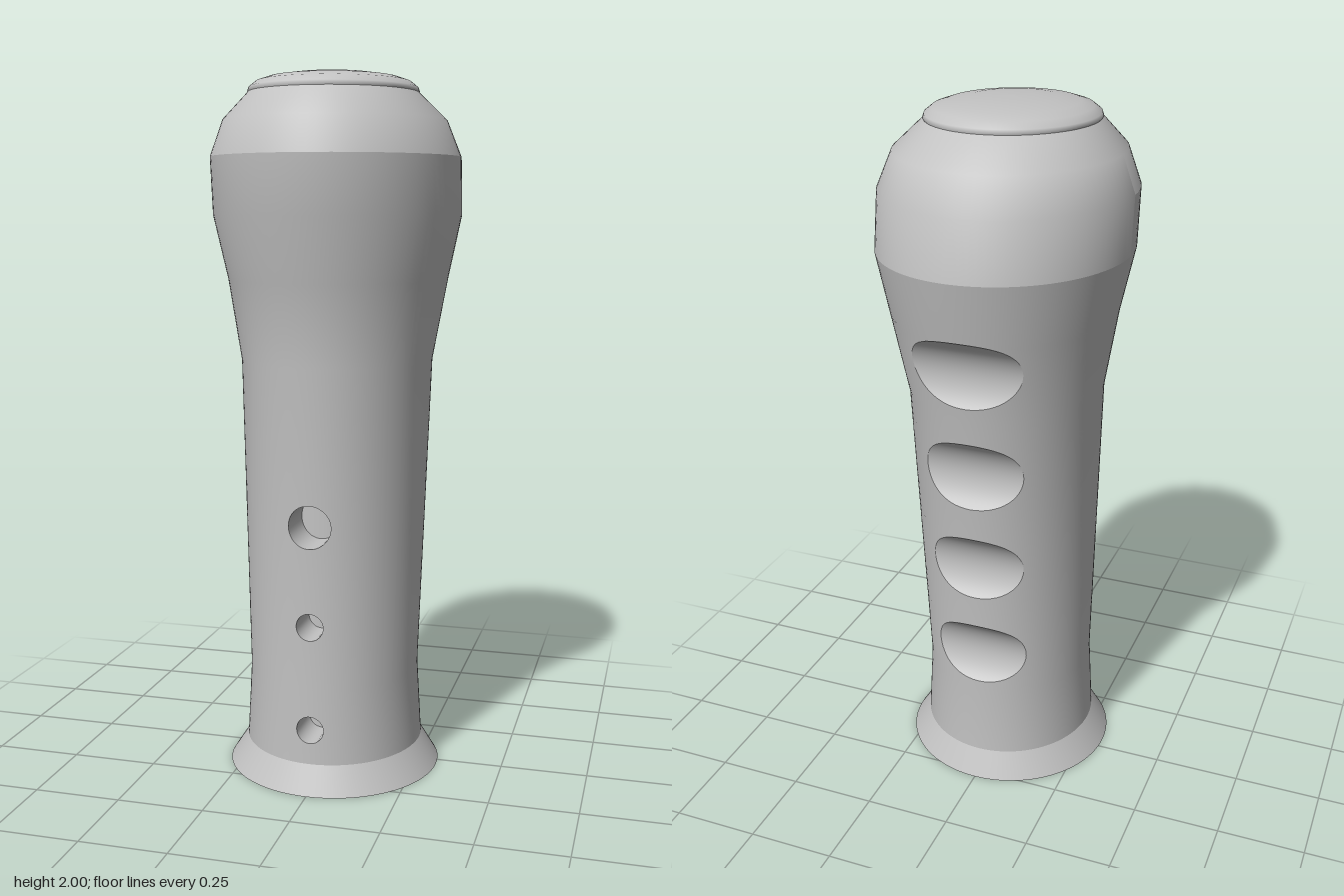
import * as THREE from 'three';

// Elliptical sections of the grip: [height, half width, front z, back z]
const KEYS = [
  [0, 0.31, 0.345, -0.28], [0.08, 0.258, 0.305, -0.243], [0.3, 0.245, 0.303, -0.238],
  [1.2, 0.273, 0.308, -0.307], [1.43, 0.313, 0.338, -0.363], [1.61, 0.351, 0.388, -0.402],
  [1.77, 0.351, 0.402, -0.373], [1.87, 0.312, 0.372, -0.325], [1.945, 0.236, 0.302, -0.218],
].map(([y, a, f, b]) => ({ y, v: [a, (f - b) / 2, (f + b) / 2] }));

const GROOVE_R = 0.135;
const GROOVES = [[1.32, -0.29], [1.02, -0.247], [0.72, -0.227], [0.42, -0.202]]; // y, deepest z
const HOLES = [[0.765, 0.061], [0.48, 0.039], [0.18, 0.039]];                    // y, radius
const BORE_R = 0.147, BORE_Z = 0.033;

const lerp = THREE.MathUtils.lerp;
const mix = (p, q, t) => p.map((n, i) => lerp(n, q[i], t));

// Section (half width, half depth, centre z) at a height
function section(y) {
  let i = 0;
  while (i < KEYS.length - 2 && y > KEYS[i + 1].y) i++;
  const k = KEYS[i], n = KEYS[i + 1];
  return mix(k.v, n.v, (y - k.y) / (n.y - k.y));
}

// Smoothed slope of the section inside the patch of keys k0..k1
function slope(y, k0, k1) {
  const seg = (i) => KEYS[i].v.map((n, j) => (KEYS[i + 1].v[j] - n) / (KEYS[i + 1].y - KEYS[i].y));
  const at = (i) => mix(seg(Math.max(i - 1, k0)), seg(Math.min(i, k1 - 1)), 0.5);
  let i = k0;
  while (i < k1 - 1 && y > KEYS[i + 1].y) i++;
  return mix(at(i), at(i + 1), (y - KEYS[i].y) / (KEYS[i + 1].y - KEYS[i].y));
}

// Grid of points from fn(row, column) -> [position, normal]
function grid(rows, cols, fn, flip = false) {
  const pos = [], nor = [], idx = [];
  for (let i = 0; i <= rows; i++) {
    for (let j = 0; j <= cols; j++) {
      const [p, n] = fn(i, j);
      pos.push(...p);
      nor.push(...new THREE.Vector3(...n).normalize().toArray());
      if (i === rows || j === cols) continue;
      const a = i * (cols + 1) + j, b = a + cols + 1;
      if (flip) idx.push(a, b + 1, b, a, a + 1, b + 1);
      else idx.push(a, b, b + 1, a, b + 1, a + 1);
    }
  }
  const g = new THREE.BufferGeometry();
  g.setAttribute('position', new THREE.Float32BufferAttribute(pos, 3));
  g.setAttribute('normal', new THREE.Float32BufferAttribute(nor, 3));
  g.setIndex(idx);
  return g;
}

// Rows packed towards both ends, where the cut edges curve fastest
const packed = (lo, hi, n) => Array.from({ length: n + 1 },
  (_, i) => lerp(lo, hi, (1 - Math.cos(Math.PI * i / n)) / 2));

const grooveZ = ([yc, deep], y) => deep - GROOVE_R + Math.sqrt(Math.max(0, GROOVE_R ** 2 - (y - yc) ** 2));

// Height where a groove leaves the back of the grip, above or below its middle
function grooveEnd(g, dir) {
  let lo = 0, hi = GROOVE_R;
  for (let i = 0; i < 40; i++) {
    const m = (lo + hi) / 2, y = g[0] + dir * m, [, b, c] = section(y);
    if (grooveZ(g, y) > c - b) lo = m; else hi = m;
  }
  return g[0] + dir * lo;
}
const bands = GROOVES.map((g) => ({ g, lo: grooveEnd(g, -1), hi: grooveEnd(g, 1) }));
const cutRows = {
  1: HOLES.flatMap(([y, r]) => packed(y - r, y + r, 20)),
  [-1]: bands.flatMap((b) => packed(b.lo, b.hi, 28)),
};

// Angle at which the skin stops: a quarter turn, or less beside a hole or groove
function edgeAngle(y, sz) {
  const [a, b, c] = section(y);
  if (sz > 0) {
    const h = HOLES.find(([yc, r]) => Math.abs(y - yc) < r);
    return h ? Math.acos(Math.sqrt(h[1] ** 2 - (y - h[0]) ** 2) / a) : Math.PI / 2;
  }
  const band = bands.find((k) => y > k.lo && y < k.hi);
  return band ? Math.asin(Math.min(1, (c - grooveZ(band.g, y)) / b)) : Math.PI / 2;
}

// One quarter of the skin between two key sections
function quarter(k0, k1, sx, sz) {
  const y0 = KEYS[k0].y, y1 = KEYS[k1].y;
  const ys = [...KEYS.slice(k0, k1 + 1).map((k) => k.y), ...cutRows[sz].filter((y) => y > y0 && y < y1)]
    .sort((p, q) => p - q).filter((y, i, all) => i === 0 || y - all[i - 1] > 1e-7);
  return grid(ys.length - 1, 24, (i, j) => {
    const y = ys[i], [a, b, c] = section(y), [da, db, dc] = slope(y, k0, k1);
    const t = edgeAngle(y, sz) * j / 24, cos = Math.cos(t), sin = sz * Math.sin(t);
    const ny = -(b * cos * da * cos + a * sin * (dc + db * sin));
    return [[sx * a * cos, y, c + b * sin], [sx * b * cos, ny, a * sin]];
  }, sx * sz < 0);
}

export function createModel() {
  const model = new THREE.Group();
  const grey = new THREE.MeshStandardMaterial({ color: 0xc2c2c2, side: THREE.DoubleSide });
  grey.name = 'grey';
  const add = (name, geometry) => {
    const mesh = new THREE.Mesh(geometry, grey);
    mesh.name = name;
    model.add(mesh);
    return mesh;
  };

  // Outer skin; the pommel edge sits lower at the back than at the front
  for (const sx of [1, -1]) {
    for (const sz of [1, -1]) {
      const split = sz > 0 ? 6 : 5;
      add('baseFlare', quarter(0, 1, sx, sz));
      add('gripBody', quarter(1, split, sx, sz));
      add('pommel', quarter(split, 8, sx, sz));
    }
  }

  // Finger grooves across the back
  for (const { g, lo, hi } of bands) {
    const ys = packed(lo, hi, 28);
    add('fingerGroove', grid(28, 12, (i, j) => {
      const y = ys[i], z = grooveZ(g, y), [a] = section(y);
      const x = a * Math.cos(edgeAngle(y, -1)) * (j / 6 - 1);
      return [[x, y, z], [0, g[0] - y, g[1] - GROOVE_R - z]];
    }));
  }

  // Holes through the front wall to the bore
  for (const [yc, r] of HOLES) {
    add('frontHole', grid(1, 40, (i, j) => {
      const t = j / 40 * Math.PI * 2, x = r * Math.cos(t), y = yc + r * Math.sin(t);
      const [a, b, c] = section(y);
      const z = i ? 0.16 : c + b * Math.sqrt(1 - (x / a) ** 2);
      return [[x, y, z], [-Math.cos(t), -Math.sin(t), 0]];
    }, true));
  }

  // Flat underside around the bore
  const [a0, b0, c0] = KEYS[0].v;
  add('baseRing', grid(1, 96, (i, j) => {
    const t = j / 96 * Math.PI * 2, x = Math.cos(t), z = Math.sin(t);
    return [i ? [a0 * x, 0, c0 + b0 * z] : [0.168 * x, 0, BORE_Z + 0.168 * z], [0, -1, 0]];
  }));

  // Bore with a chamfered mouth, facing inwards
  const bore = [[0, 1.5], [BORE_R, 1.5], [BORE_R, 0.03], [0.168, 0]].map((p) => new THREE.Vector2(...p));
  for (let i = 0; i < 3; i++) {
    add(['boreEnd', 'boreWall', 'boreChamfer'][i], new THREE.LatheGeometry([bore[i], bore[i + 1]], 64))
      .position.z = BORE_Z;
  }

  // Domed oval cap
  const cap = [[0.97, 1.935], [1, 1.947], [0.985, 1.958], [0.9, 1.974], [0.75, 1.986], [0.5, 1.995], [0.25, 1.999], [0, 2]]
    .map((p) => new THREE.Vector2(...p));
  const capMesh = add('topCap', new THREE.LatheGeometry(cap, 96).scale(0.238, 1, 0.26));
  capMesh.position.z = 0.042;

  return model;
}
